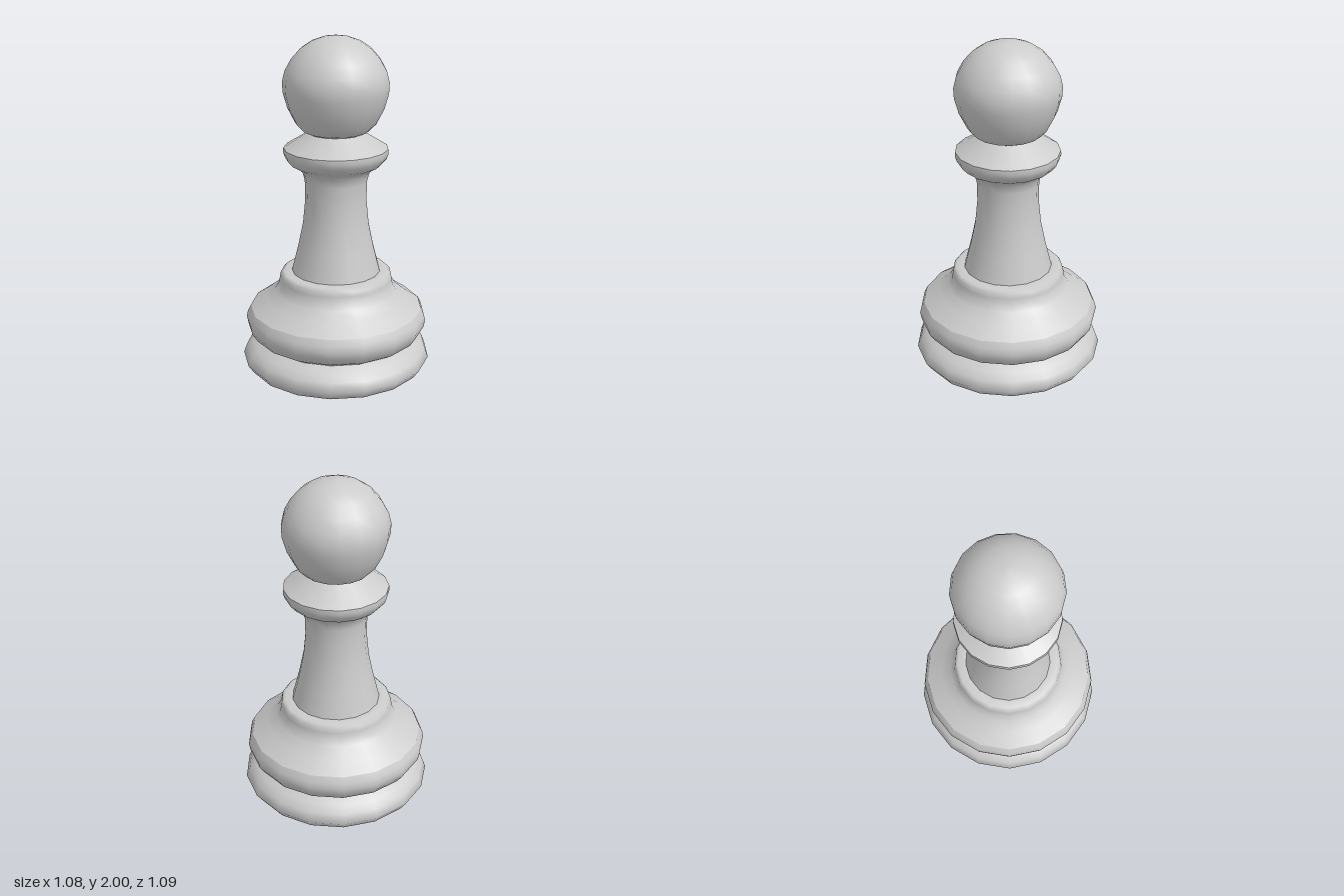
import * as THREE from 'three';

const SIDES = 17;
const material = new THREE.MeshStandardMaterial({ color: 0xcccccc });

// Turned part from a [radius, height] profile, listed from bottom to top;
// separate parts keep the creases between them sharp
function turned(name, profile) {
  const points = profile.map(([r, y]) => new THREE.Vector2(r, y));
  const mesh = new THREE.Mesh(new THREE.LatheGeometry(points, SIDES, Math.PI / 2), material);
  mesh.name = name;
  return mesh;
}

export function createModel() {
  const group = new THREE.Group();
  group.name = 'pawn';

  const parts = {
    // flat underside and lower bulge
    foot: [[0, 0], [0.13, 0], [0.25, 0.005], [0.41, 0.042], [0.51, 0.085], [0.545, 0.135],
      [0.525, 0.188], [0.485, 0.222], [0.435, 0.25]],
    // upper bulge
    baseRing: [[0.435, 0.25], [0.485, 0.28], [0.515, 0.325], [0.523, 0.365], [0.515, 0.4], [0.497, 0.435]],
    // concave shoulder ending in a rounded lip
    shoulder: [[0.497, 0.435], [0.41, 0.495], [0.355, 0.54], [0.33, 0.58], [0.325, 0.61],
      [0.32, 0.638], [0.303, 0.655], [0.25, 0.655]],
    // waisted column flaring into the collar
    column: [[0.255, 0.65], [0.217, 0.8], [0.188, 0.94], [0.174, 1.08], [0.176, 1.19], [0.187, 1.235],
      [0.21, 1.265], [0.255, 1.29], [0.285, 1.325], [0.295, 1.355], [0.293, 1.38]],
    collarTop: [[0.293, 1.38], [0.14, 1.475]],
    // ball, slightly narrowed at the bottom
    head: [[0, 1.468], [0.16, 1.468], [0.187, 1.48], [0.225, 1.52], [0.268, 1.605], [0.292, 1.69],
      [0.295, 1.75], [0.28, 1.81], [0.245, 1.873], [0.195, 1.93], [0.135, 1.97],
      [0.07, 1.993], [0.01, 2], [0, 2]],
  };
  for (const [name, profile] of Object.entries(parts)) group.add(turned(name, profile));

  // an odd number of sides is not symmetric in x, so recentre
  group.children.forEach((mesh) => { mesh.position.x = -0.005; });
  return group;
}
